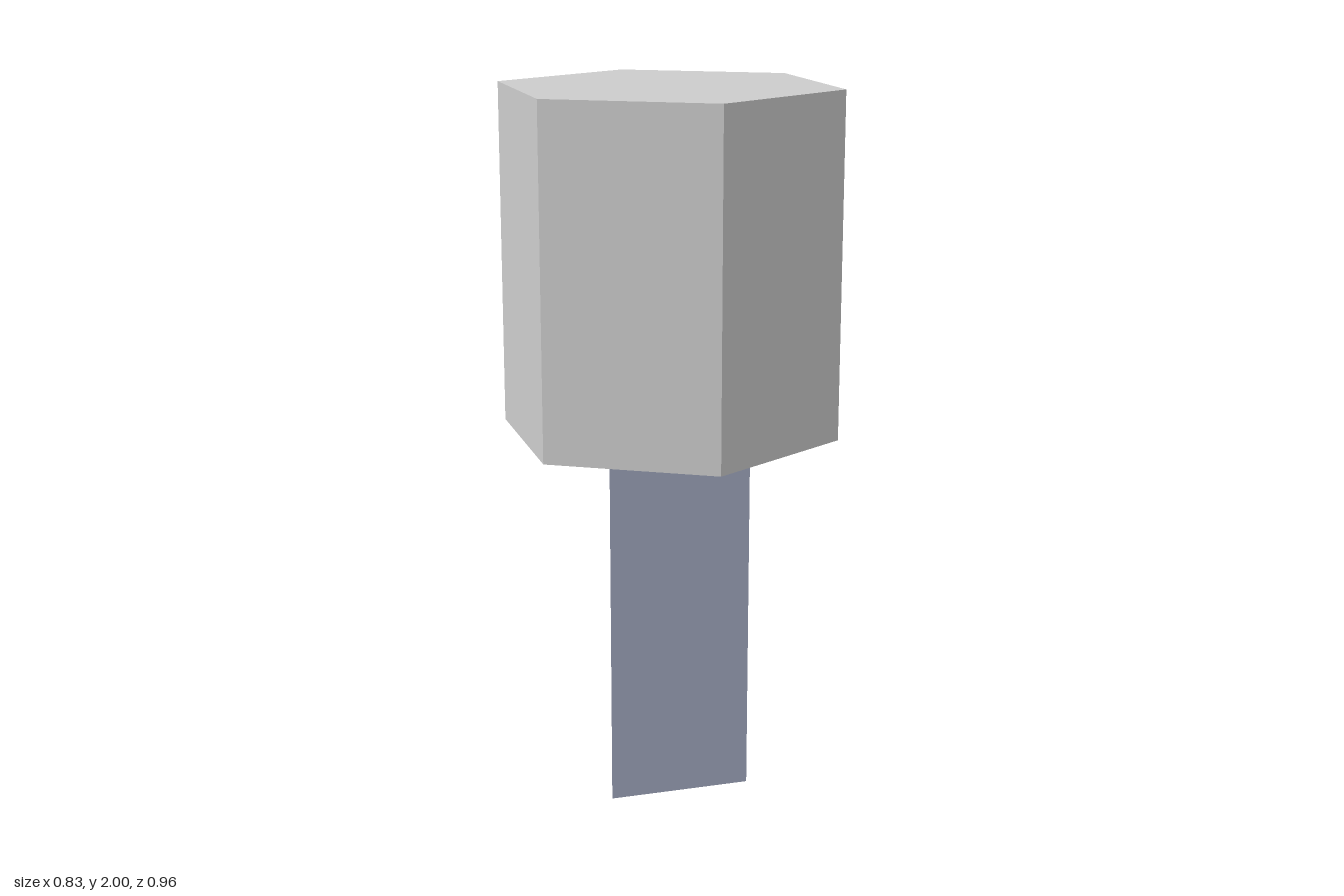
import * as THREE from 'three';

export function createModel() {
  const group = new THREE.Group();
  const material = (name, color) => {
    const m = new THREE.MeshStandardMaterial({ color, side: THREE.DoubleSide, flatShading: true });
    m.name = name;
    return m;
  };
  const grey = material('light grey', 0xcccccc);
  const blueGrey = material('blue grey', 0xa9b0c8);

  const add = (name, geometry, mat, y) => {
    const mesh = new THREE.Mesh(geometry, mat);
    mesh.name = name;
    mesh.position.y = y;
    group.add(mesh);
    return mesh;
  };

  const joint = 1.048; // height where the head meets the post
  const headRadius = 0.478;

  // Hexagonal head: a hollow shell, closed on top and open below
  add('headWalls', new THREE.CylinderGeometry(headRadius, headRadius, 2 - joint, 6, 1, true), grey, (2 + joint) / 2);
  const top = new THREE.CircleGeometry(headRadius, 6, Math.PI / 2).rotateX(-Math.PI / 2);
  add('headTop', top, grey, 2);

  // Triangular post: open tube with its flat side to the front
  const post = new THREE.CylinderGeometry(0.233, 0.233, joint, 3, 1, true).rotateY(Math.PI);
  add('post', post, blueGrey, joint / 2);

  return group;
}
